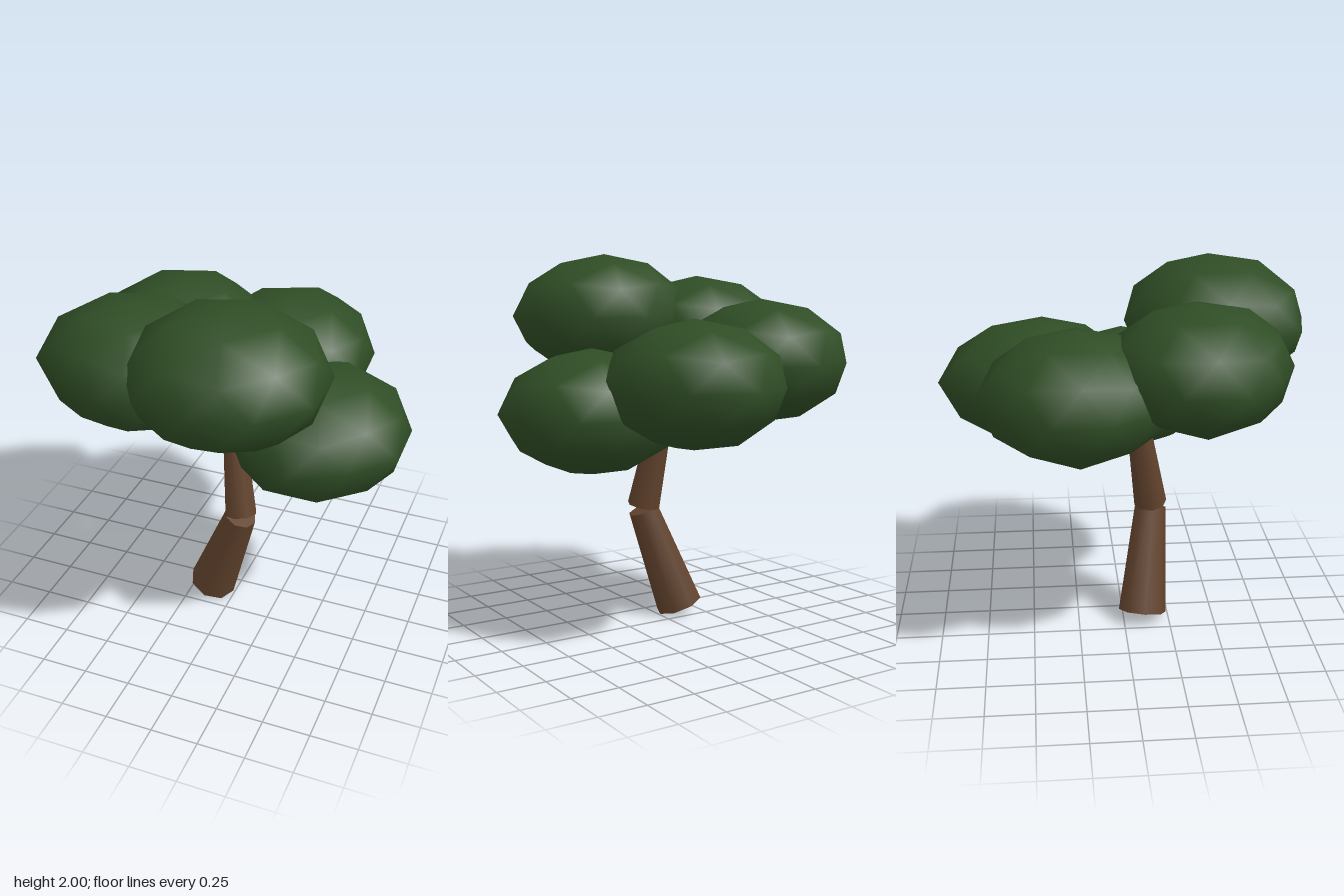
import * as THREE from 'three';
import { mergeVertices } from 'three/addons/utils/BufferGeometryUtils.js';

const leafGreen = new THREE.MeshStandardMaterial({ name: 'leafGreen', color: 0x2f4d25 });
const barkBrown = new THREE.MeshStandardMaterial({ name: 'barkBrown', color: 0x62432d });

// Leaf clumps: centre, half height, and ten radii around the equator (from +x towards +z)
const clumps = [
  { name: 'frontTopClump', at: [0.11, 1.66, 0.5], h: 0.34,
    r: [0.515, 0.487, 0.47, 0.5, 0.48, 0.47, 0.47, 0.48, 0.5, 0.515] },
  { name: 'backClump', at: [0.11, 1.34, -0.41], h: 0.33,
    r: [0.47, 0.47, 0.45, 0.46, 0.46, 0.47, 0.48, 0.56, 0.51, 0.48] },
  { name: 'leftLowClump', at: [0.44, 1.18, 0.05], h: 0.33,
    r: [0.49, 0.46, 0.53, 0.48, 0.48, 0.48, 0.48, 0.45, 0.5, 0.485] },
  { name: 'rightFrontClump', at: [-0.42, 1.56, 0.36], h: 0.32,
    r: [0.47, 0.48, 0.46, 0.43, 0.51, 0.5, 0.48, 0.47, 0.47, 0.47] },
  { name: 'rightBackClump', at: [-0.42, 1.43, -0.25], h: 0.33,
    r: [0.45, 0.46, 0.47, 0.47, 0.475, 0.485, 0.47, 0.5, 0.46, 0.44] },
];

// Icosphere with a vertex at the top, widened by the radius for each direction
function clumpGeometry({ h, r }) {
  let geo = new THREE.IcosahedronGeometry(1, 1);
  geo.rotateX(-Math.atan2((1 + Math.sqrt(5)) / 2, 1));
  geo.rotateY(Math.PI / 10);
  geo.deleteAttribute('uv');
  geo.deleteAttribute('normal');
  geo = mergeVertices(geo, 1e-3);
  const p = geo.attributes.position;
  for (let i = 0; i < p.count; i++) {
    const x = p.getX(i), z = p.getZ(i);
    const t = (Math.atan2(z, x) / (Math.PI / 5) - 0.5 + 20) % 10;
    const k = Math.floor(t);
    const s = THREE.MathUtils.lerp(r[k % 10], r[(k + 1) % 10], t - k);
    p.setXYZ(i, x * s, p.getY(i) * h, z * s);
  }
  geo.computeVertexNormals();
  return geo;
}

// Tapered eight-sided log between two points
function log(name, from, to, r0, r1) {
  const a = new THREE.Vector3(...from), b = new THREE.Vector3(...to);
  const dir = b.clone().sub(a);
  const mesh = new THREE.Mesh(new THREE.CylinderGeometry(r1, r0, dir.length(), 8), barkBrown);
  mesh.name = name;
  mesh.position.copy(a).add(b).multiplyScalar(0.5);
  mesh.quaternion.setFromUnitVectors(new THREE.Vector3(0, 1, 0), dir.normalize());
  return mesh;
}

export function createModel() {
  const tree = new THREE.Group();
  tree.name = 'tree';

  // Bent trunk in two pieces
  const fork = [-0.035, 1.3, 0.06];
  tree.add(log('lowerTrunk', [-0.135, 0.046, 0.105], [0.06, 0.6, 0.165], 0.132, 0.086));
  tree.add(log('upperTrunk', [0.06, 0.622, 0.165], fork, 0.09, 0.052));

  // Short branches into the high clumps
  tree.add(log('frontBranch', fork, [0.06, 1.52, 0.3], 0.05, 0.03));
  tree.add(log('rightBranch', fork, [-0.25, 1.46, 0.2], 0.05, 0.03));

  // Foliage
  for (const c of clumps) {
    const mesh = new THREE.Mesh(clumpGeometry(c), leafGreen);
    mesh.name = c.name;
    mesh.position.set(...c.at);
    tree.add(mesh);
  }
  return tree;
}
